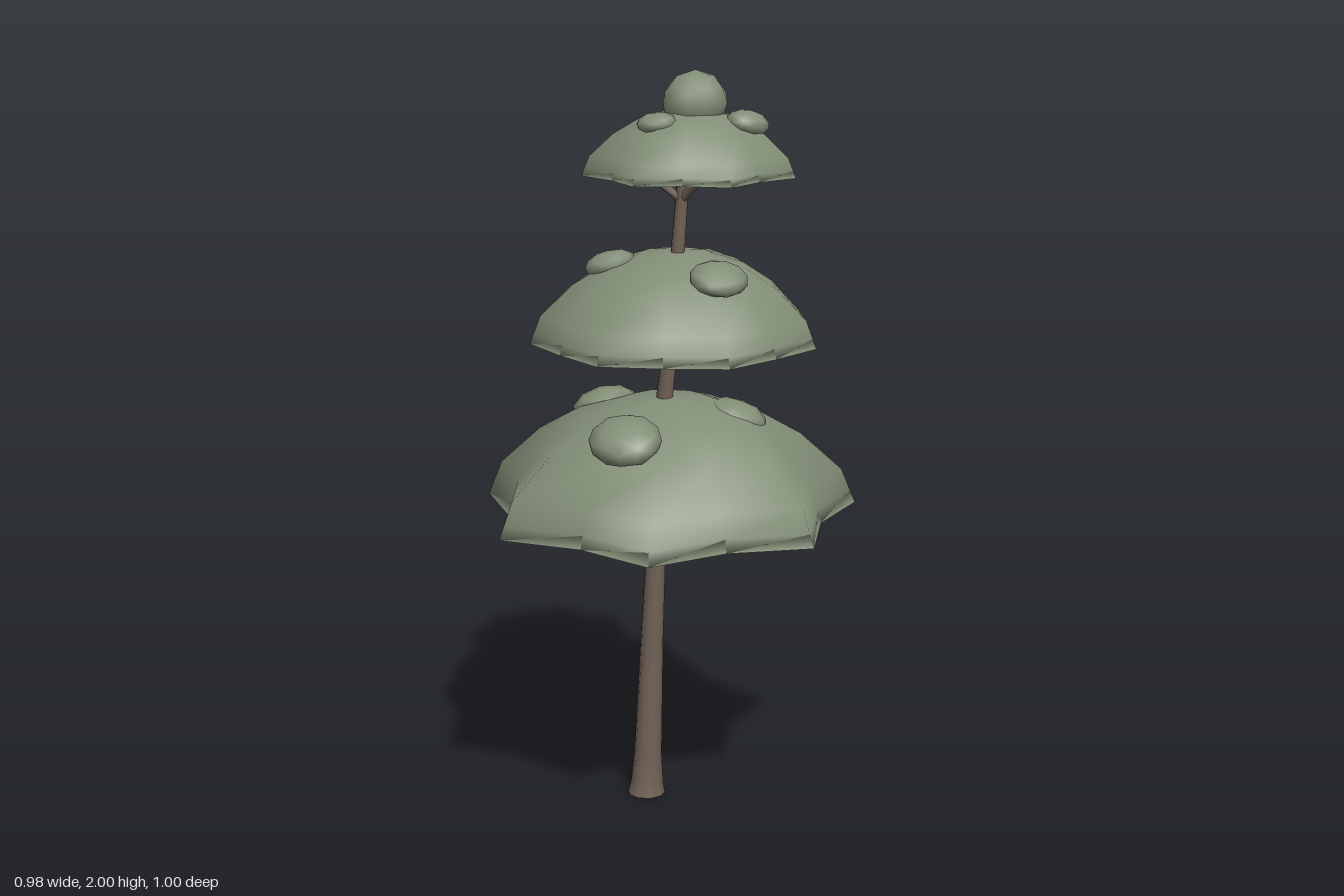
import * as THREE from 'three';

const foliage = new THREE.MeshStandardMaterial({ color: 0x828e77 });
foliage.name = 'sage foliage';
const bark = new THREE.MeshStandardMaterial({ color: 0x726358 });
bark.name = 'brown bark';

const UP = new THREE.Vector3(0, 1, 0);

// Joins rings of equal point count into a closed-around skin
function loft(rings) {
  const n = rings[0].length, index = [];
  for (let i = 0; i < rings.length - 1; i++) {
    for (let j = 0; j < n; j++) {
      const a = i * n + j, b = i * n + (j + 1) % n;
      index.push(a, a + n, b, b, a + n, b + n);
    }
  }
  const geo = new THREE.BufferGeometry();
  geo.setAttribute('position', new THREE.Float32BufferAttribute(rings.flat(2), 3));
  geo.setIndex(index);
  geo.computeVertexNormals();
  return geo;
}

function ring(x, y, z, n, radius) {
  return Array.from({ length: n }, (_, j) => {
    const a = (j / n) * Math.PI * 2, r = radius(j);
    return [x + r * Math.cos(a), y, z + r * Math.sin(a)];
  });
}

function add(parent, name, geo, mat) {
  const mesh = new THREE.Mesh(geo, mat);
  mesh.name = name;
  parent.add(mesh);
  return mesh;
}

// Dome outlines: [radius fraction, height fraction]
const OUTSIDE = [[1, 0], [0.975, 0.11], [0.93, 0.3], [0.72, 0.63], [0.5, 0.84], [0.25, 0.96], [0.001, 1]];
const INSIDE = [[0.001, 0.57], [0.25, 0.55], [0.5, 0.48], [0.72, 0.36], [0.9, 0.17]];

// Thick seven-pointed dome with a shallow hollow; tips start at +x, or at -x when flipped
function canopyGeometry({ x, z, y, height, tip, valley, flip }) {
  const mid = (tip + valley) / 2;
  return loft([...INSIDE, ...OUTSIDE].map(([r, h]) =>
    ring(x, y + h * height, z, 14, (j) => {
      const rim = (j % 2 === 0) !== flip ? tip : valley;
      return r * (mid + (rim - mid) * r);
    })));
}

// Trunk centre line and radius: [x, y, radius]
const TRUNK = [
  [-0.09, 0, 0.052], [-0.088, 0.03, 0.045], [-0.084, 0.12, 0.038], [-0.068, 0.45, 0.031],
  [-0.045, 0.83, 0.025], [-0.018, 1.15, 0.022], [0.005, 1.3, 0.02], [0.03, 1.55, 0.018], [0.06, 1.85, 0.013],
];

function trunkX(y) {
  const i = TRUNK.findIndex((p) => p[1] >= y);
  const [x0, y0] = TRUNK[i - 1], [x1, y1] = TRUNK[i];
  return x0 + ((x1 - x0) * (y - y0)) / (y1 - y0);
}

function trunkGeometry() {
  const rings = TRUNK.map(([x, y, r]) => ring(x, y, 0.012, 10, () => r));
  const cap = ([x, y]) => ring(x, y, 0.012, 10, () => 0.0005);
  const first = rings[0], last = rings[rings.length - 1];
  return loft([cap(TRUNK[0]), first, first, ...rings.slice(1), last, cap(TRUNK[TRUNK.length - 1])]);
}

// Tapered limb between two points
function addBranch(parent, from, to, r) {
  const dir = to.clone().sub(from);
  const mesh = add(parent, 'branch', new THREE.CylinderGeometry(r * 0.6, r, dir.length(), 6), bark);
  mesh.position.copy(from).addScaledVector(dir, 0.5);
  mesh.quaternion.setFromUnitVectors(UP, dir.normalize());
}

// Each tier: dome, branch fan (joint height, reach, rise, turn) and tufts [x, y, z, rx, ry, rz]
const TIERS = [
  {
    name: 'lower', x: -0.022, z: 0, y: 0.83, height: 0.315, tip: 0.513, valley: 0.424, flip: false,
    joint: 0.87, reach: 0.26, rise: 0.1, turn: 45, limb: 0.013,
    tufts: [[0.08, 1.087, 0.26, 0.1, 0.05, 0.09], [-0.245, 1.085, 0.01, 0.09, 0.05, 0.09],
      [0.11, 1.083, -0.12, 0.09, 0.05, 0.09]],
  },
  {
    name: 'middle', x: 0.008, z: 0, y: 1.297, height: 0.24, tip: 0.38, valley: 0.35, flip: true,
    joint: 1.278, reach: 0.2, rise: 0.11, turn: 15, limb: 0.011,
    tufts: [[0.225, 1.495, 0.07, 0.072, 0.036, 0.08], [-0.11, 1.5, 0.12, 0.072, 0.034, 0.065],
      [0, 1.485, -0.13, 0.07, 0.036, 0.06]],
  },
  {
    name: 'upper', x: 0.067, z: 0.007, y: 1.737, height: 0.168, tip: 0.278, valley: 0.235, flip: true,
    joint: 1.67, reach: 0.14, rise: 0.11, turn: 8, limb: 0.012,
    tufts: [[0.08, 1.919, 0.003, 0.081, 0.081, 0.086], [0.197, 1.87, -0.065, 0.053, 0.033, 0.06],
      [0.067, 1.876, 0.13, 0.053, 0.025, 0.048], [-0.015, 1.856, -0.045, 0.046, 0.034, 0.05]],
  },
];

export function createModel() {
  const tree = new THREE.Group();
  tree.name = 'tieredTree';
  add(tree, 'trunk', trunkGeometry(), bark);

  for (const tier of TIERS) {
    const group = new THREE.Group();
    group.name = tier.name + 'Tier';
    tree.add(group);
    add(group, 'canopy', canopyGeometry(tier), foliage);

    // Three branches fanned around the trunk
    const from = new THREE.Vector3(trunkX(tier.joint), tier.joint, 0.012);
    for (let i = 0; i < 3; i++) {
      const a = THREE.MathUtils.degToRad(tier.turn + i * 120);
      const offset = new THREE.Vector3(Math.cos(a) * tier.reach, tier.rise, Math.sin(a) * tier.reach);
      addBranch(group, from, from.clone().add(offset), tier.limb);
    }

    // Rounded leaf tufts sunk into the dome and leaning with its slope
    for (const [x, y, z, rx, ry, rz] of tier.tufts) {
      const tuft = add(group, 'leafTuft', new THREE.IcosahedronGeometry(1, 1), foliage);
      tuft.position.set(x, y, z);
      tuft.scale.set(rx, ry, rz);
      tuft.quaternion.setFromUnitVectors(UP, new THREE.Vector3(x - tier.x, 0.65, z - tier.z).normalize());
    }
  }
  return tree;
}
